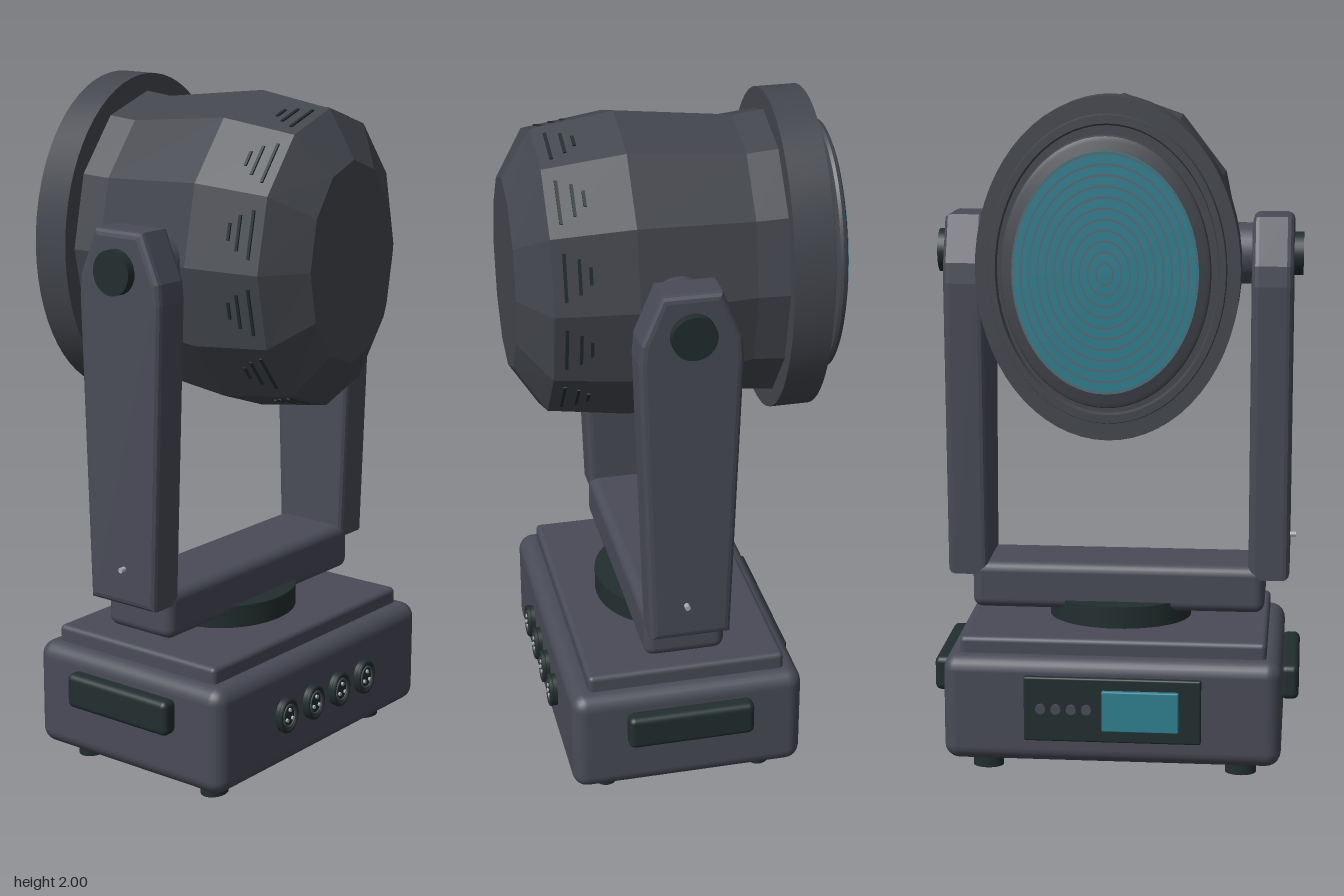
import * as THREE from 'three';
import { toCreasedNormals } from 'three/addons/utils/BufferGeometryUtils.js';
import { RoundedBoxGeometry } from 'three/addons/geometries/RoundedBoxGeometry.js';

const mat = (name, color) => Object.assign(new THREE.MeshStandardMaterial({ color }), { name });

export function createModel() {
  const casing = mat('casing grey', 0x494b57);
  const shell = mat('head grey', 0x43464d);
  const dark = mat('dark rubber', 0x222e2e);
  const teal = mat('teal glass', 0x2f7f90);
  const line = mat('lens line grey', 0x566a70);
  const steel = mat('pale steel', 0xa8acb0);

  const model = new THREE.Group();
  const add = (parent, name, geo, material, x = 0, y = 0, z = 0) => {
    const m = new THREE.Mesh(geo, material);
    m.name = name;
    m.position.set(x, y, z);
    parent.add(m);
    return m;
  };
  const group = (name, x = 0, y = 0, z = 0) => {
    const g = new THREE.Group();
    g.name = name;
    g.position.set(x, y, z);
    model.add(g);
    return g;
  };
  // Rounded box given by its limits
  const block = (parent, name, material, x0, x1, y0, y1, z0, z1, r) =>
    add(parent, name, new RoundedBoxGeometry(x1 - x0, y1 - y0, z1 - z0, 3, r), material,
      (x0 + x1) / 2, (y0 + y1) / 2, (z0 + z1) / 2);
  const axle = (r, len, seg = 32) => new THREE.CylinderGeometry(r, r, len, seg).rotateZ(Math.PI / 2);
  const barrel = (r, len, seg = 32) => new THREE.CylinderGeometry(r, r, len, seg).rotateX(Math.PI / 2);
  const v2 = (pts) => pts.map(([a, b]) => new THREE.Vector2(a, b));

  // Base
  const base = group('base');
  block(base, 'baseBox', casing, -0.498, 0.498, 0.045, 0.365, -0.305, 0.39, 0.045);
  block(base, 'topPlate', casing, -0.452, 0.452, 0.34, 0.413, -0.255, 0.335, 0.015);
  for (const s of [-1, 1]) {
    block(base, 'handle', dark, s * 0.52 - 0.027, s * 0.52 + 0.027, 0.208, 0.312, -0.145, 0.232, 0.018);
    for (const z of [-0.195, 0.277])
      add(base, 'foot', new THREE.CylinderGeometry(0.046, 0.046, 0.06, 24).scale(1, 1, 0.8), dark, s * 0.378, 0.03, z);
  }

  // Front sockets with three pins each
  for (const x of [-0.197, -0.066, 0.064, 0.193]) {
    const socket = group('socket', x, 0.21, 0.39);
    socket.scale.x = 0.8;
    add(socket, 'socketBody', barrel(0.052, 0.035), dark, 0, 0, 0.002);
    add(socket, 'socketRim', new THREE.TorusGeometry(0.046, 0.008, 8, 32), dark, 0, 0, 0.016);
    add(socket, 'socketRing', new THREE.TorusGeometry(0.033, 0.004, 8, 32), casing, 0, 0, 0.019);
    for (let i = 0; i < 3; i++) {
      const a = Math.PI / 2 + (i * Math.PI * 2) / 3;
      add(socket, 'pin', barrel(0.006, 0.008, 10), steel, 0.019 * Math.cos(a), 0.019 * Math.sin(a), 0.022);
    }
  }

  // Rear control panel
  block(base, 'controlPanel', dark, -0.265, 0.255, 0.12, 0.315, -0.32, -0.29, 0.006);
  block(base, 'screen', teal, -0.2, 0.025, 0.158, 0.28, -0.334, -0.31, 0.004);
  for (const x of [0.07, 0.115, 0.16, 0.205])
    add(base, 'button', barrel(0.015, 0.012, 16), casing, x, 0.22, -0.323);

  // Turntable and yoke
  const yoke = group('yoke', 0, 0, 0.043);
  add(yoke, 'turntable', new THREE.CylinderGeometry(0.215, 0.215, 0.075, 48).scale(1, 1, 0.83), dark, 0, 0.442, 0);
  block(yoke, 'crossBar', casing, -0.44, 0.44, 0.45, 0.593, -0.12, 0.12, 0.03);
  const armShape = new THREE.Shape(v2([
    [-0.118, 0.555], [0.118, 0.555], [0.147, 1.44], [0.142, 1.5], [0.084, 1.637],
    [-0.084, 1.637], [-0.142, 1.5], [-0.147, 1.44]]));
  const armGeo = new THREE.ExtrudeGeometry(armShape, {
    depth: 0.082, bevelThickness: 0.02, bevelSize: 0.02, bevelOffset: -0.02, bevelSegments: 3 });
  armGeo.translate(0, 0, -0.041).rotateY(-Math.PI / 2);
  for (const s of [-1, 1]) {
    add(yoke, 'arm', armGeo, casing, s * 0.452, 0, 0);
    add(yoke, 'pivotCap', axle(0.064, 0.06), dark, s * 0.51, 1.522, 0);
    add(yoke, 'pivotShaft', axle(0.09, 0.13), casing, s * 0.345, 1.522, 0);
    add(yoke, 'armScrew', axle(0.008, 0.03, 12), steel, s * 0.515, 0.667, 0.014);
  }

  // Twelve-sided oval head shell, narrowed a little at its closed end
  const head = group('head', 0, 1.522, 0);
  const oval = 0.77;
  const profile = [[0, -0.47], [0.29, -0.47], [0.425, -0.385], [0.46, -0.15], [0.42, 0.19], [0.43, 0.29]];
  const faceted = new THREE.LatheGeometry(v2(profile), 12).rotateX(-Math.PI / 2).scale(oval, 1, 1);
  const p = faceted.attributes.position;
  for (let i = 0; i < p.count; i++) if (p.getZ(i) > 0.44) p.setX(i, p.getX(i) * 0.89);
  const shellGeo = faceted.toNonIndexed();
  shellGeo.computeVertexNormals();
  add(head, 'headShell', shellGeo, shell);

  // Cooling slits, three rows on every facet
  for (const [z, share] of [[0.35, 0.62], [0.31, 0.45], [0.28, 0.22]]) {
    const r = 0.46 - (0.035 * (z - 0.15)) / 0.235;
    for (let i = 0; i < 12; i++) {
      const [a, b] = [i, i + 1].map((k) => new THREE.Vector2(
        r * oval * Math.sin((k * Math.PI) / 6), r * Math.cos((k * Math.PI) / 6)));
      const mid = a.clone().add(b).multiplyScalar(0.5);
      const slit = add(head, 'coolingSlit', new THREE.BoxGeometry(a.distanceTo(b) * share, 0.008, 0.009), dark, mid.x, mid.y, z);
      slit.rotation.z = Math.atan2(b.y - a.y, b.x - a.x);
    }
  }

  // Smooth collar with stepped lip
  const ovalLathe = (pts) => toCreasedNormals(
    new THREE.LatheGeometry(v2(pts), 64).rotateX(-Math.PI / 2).scale(oval, 1, 1), 0.6);
  add(head, 'collar', ovalLathe([[0.38, 0.28], [0.48, 0.28], [0.48, 0.396], [0.432, 0.396],
    [0.428, 0.41], [0.405, 0.41], [0.4, 0.396], [0, 0.396]]), shell);

  // Lens rim, glass and concentric ridges
  add(head, 'lensRim', ovalLathe([[0, 0.43], [0.362, 0.43], [0.374, 0.436], [0.378, 0.445],
    [0.374, 0.455], [0.362, 0.46], [0, 0.46]]), shell);
  add(head, 'lens', ovalLathe([[0.335, 0.459], [0.335, 0.468], [0, 0.47]]), teal);
  for (let i = 1; i <= 11; i++) {
    const r = i * 0.03;
    add(head, 'lensRidge', new THREE.RingGeometry(r - 0.003, r + 0.003, 64).rotateY(Math.PI).scale(oval, 1, 1), line, 0, 0, -0.474);
  }
  return model;
}
